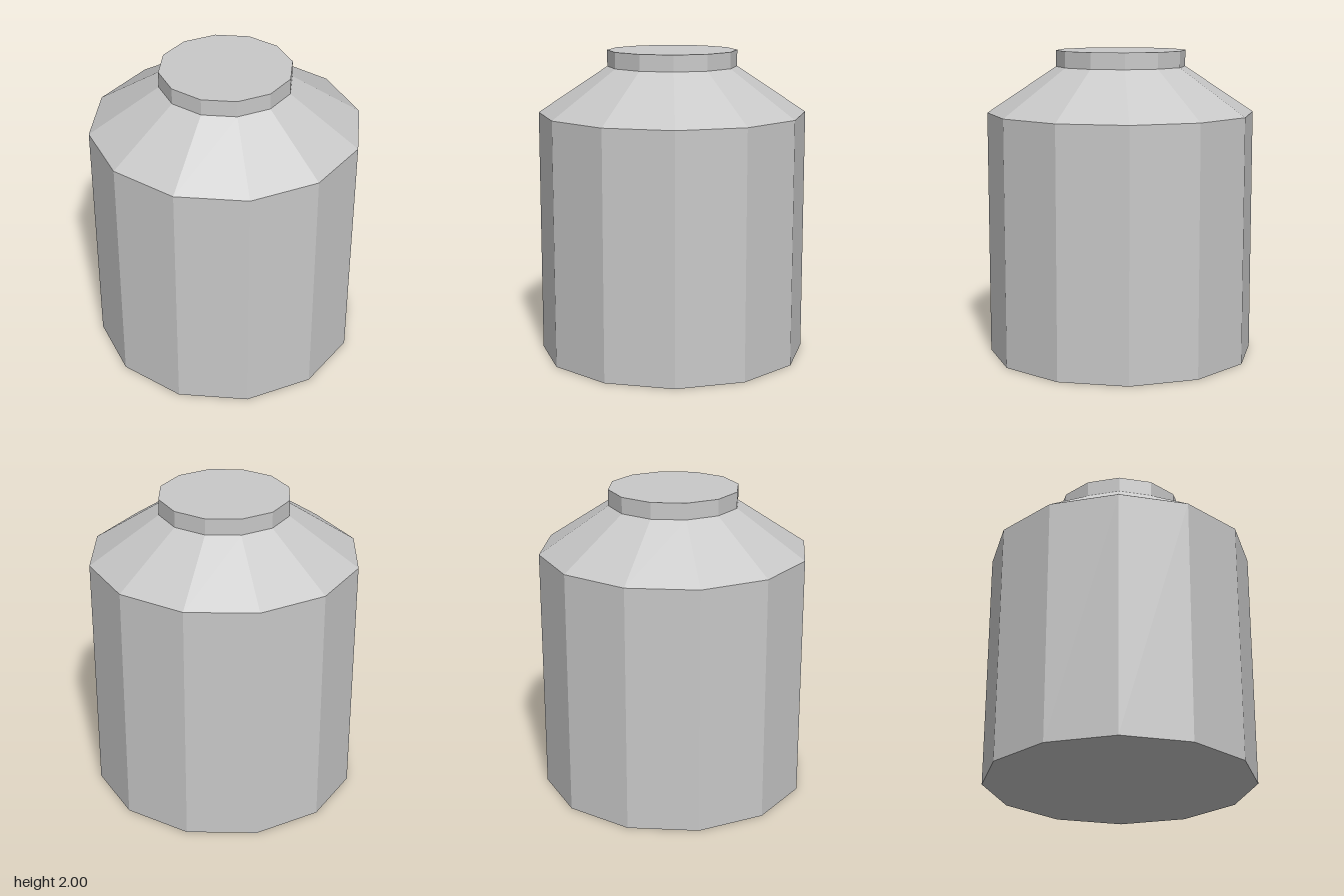
import * as THREE from 'three';

const SIDES = 12;
const BODY_R = 0.872, NECK_R = 0.422;
const BODY_TOP = 1.595, NECK_BASE = 1.895, TOP = 2;

export function createModel() {
  const model = new THREE.Group();
  model.name = 'canister';

  const grey = new THREE.MeshStandardMaterial({ color: 0xc8c8c8, flatShading: true });
  grey.name = 'light grey metal';

  // A twelve-sided ring of wall between two heights
  const section = (name, bottomR, topR, y0, y1) => {
    const geometry = new THREE.CylinderGeometry(topR, bottomR, y1 - y0, SIDES, 1, true);
    const mesh = new THREE.Mesh(geometry, grey);
    mesh.name = name;
    mesh.position.y = (y0 + y1) / 2;
    model.add(mesh);
  };

  // A flat twelve-sided end, facing up or down
  const end = (name, radius, y, up) => {
    const geometry = new THREE.CircleGeometry(radius, SIDES);
    geometry.rotateX(up ? -Math.PI / 2 : Math.PI / 2);
    const mesh = new THREE.Mesh(geometry, grey);
    mesh.name = name;
    mesh.position.y = y;
    model.add(mesh);
  };

  end('base', BODY_R, 0, false);
  section('body', BODY_R, BODY_R, 0, BODY_TOP);
  section('shoulder', BODY_R, NECK_R, BODY_TOP, NECK_BASE);
  section('neck', NECK_R, NECK_R, NECK_BASE, TOP);
  end('lid', NECK_R, TOP, true);

  return model;
}
